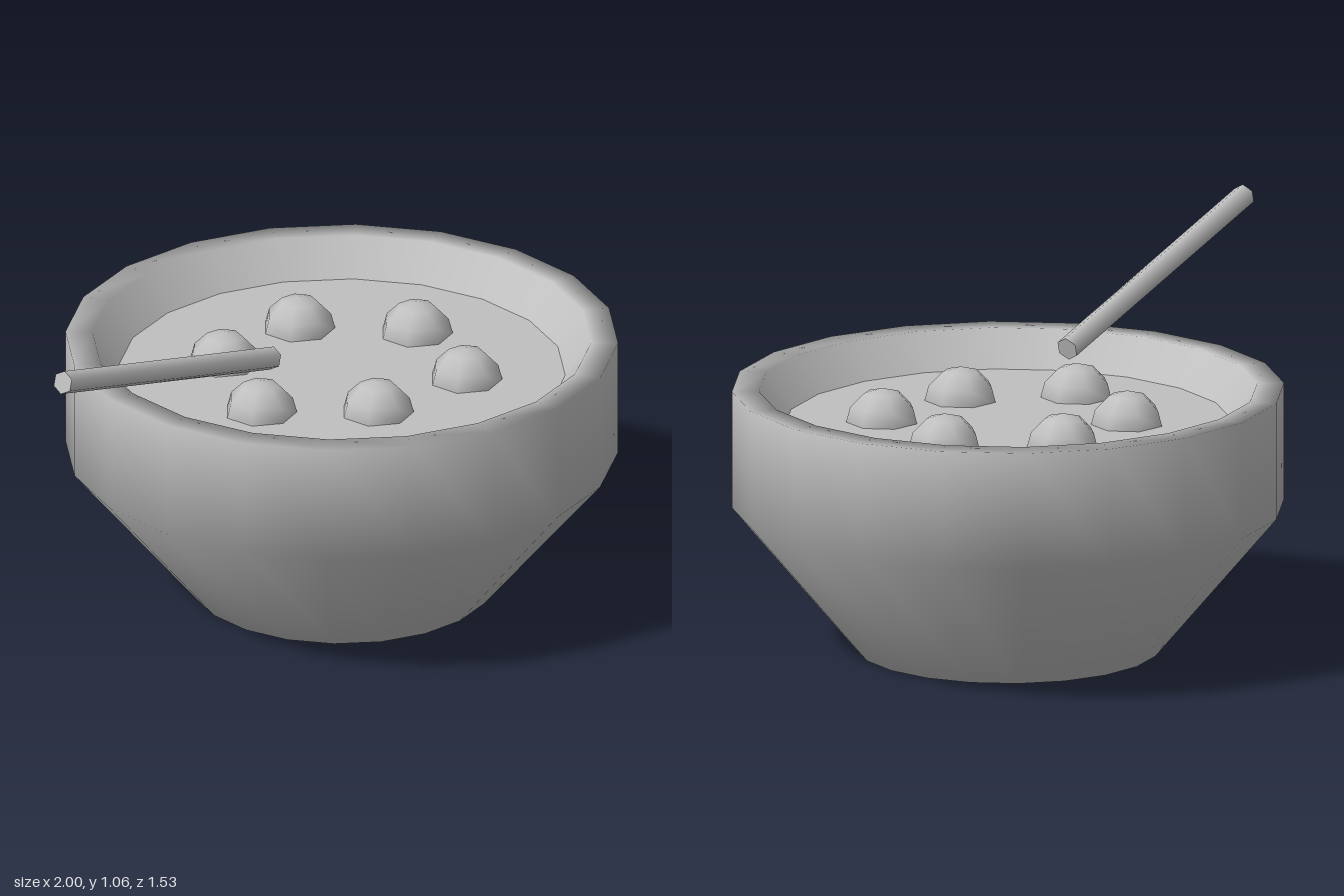
import * as THREE from 'three';

export function createModel() {
  const model = new THREE.Group();
  const gray = new THREE.MeshStandardMaterial({ color: 0xc0c0c0 });
  gray.name = 'plain gray';

  const add = (name, geometry, x, y, z, parent = model) => {
    const mesh = new THREE.Mesh(geometry, gray);
    mesh.name = name;
    mesh.position.set(x, y, z);
    parent.add(mesh);
    return mesh;
  };

  const cx = 0.235; // bowl axis
  const soupY = 0.64;

  // Thick bowl with an open hole in its base: foot, outer wall, rim, inner wall
  const profile = [
    [0.21, 0.07], [0.27, 0], [0.42, 0], [0.765, 0.41],
    [0.765, 0.74], [0.69, 0.74], [0.21, 0.07],
  ].map(([r, y]) => new THREE.Vector2(r, y));
  add('bowl', new THREE.LatheGeometry(profile, 20), cx, 0, 0);

  // Flat liquid surface
  add('soupSurface', new THREE.CircleGeometry(0.63, 20).rotateX(-Math.PI / 2), cx, soupY, 0);

  // Seven-sided dumplings floating half sunk
  const dumplings = new THREE.Group();
  dumplings.name = 'dumplings';
  model.add(dumplings);
  const ball = new THREE.SphereGeometry(0.104, 7, 6).rotateY(Math.PI);
  const spots = [
    [0.07, -0.286], [0.385, -0.275], [-0.123, 0],
    [0.562, 0], [0.08, 0.251], [0.406, 0.302],
  ];
  for (const [x, z] of spots) add('dumpling', ball, x, soupY - 0.01, z, dumplings);

  // Hexagonal stick sloping up over the rim
  const stick = new THREE.CylinderGeometry(0.033, 0.033, 0.952, 6).rotateY(Math.PI / 6);
  add('stick', stick, -0.532, 0.908, 0).rotation.z = THREE.MathUtils.degToRad(75);

  return model;
}
